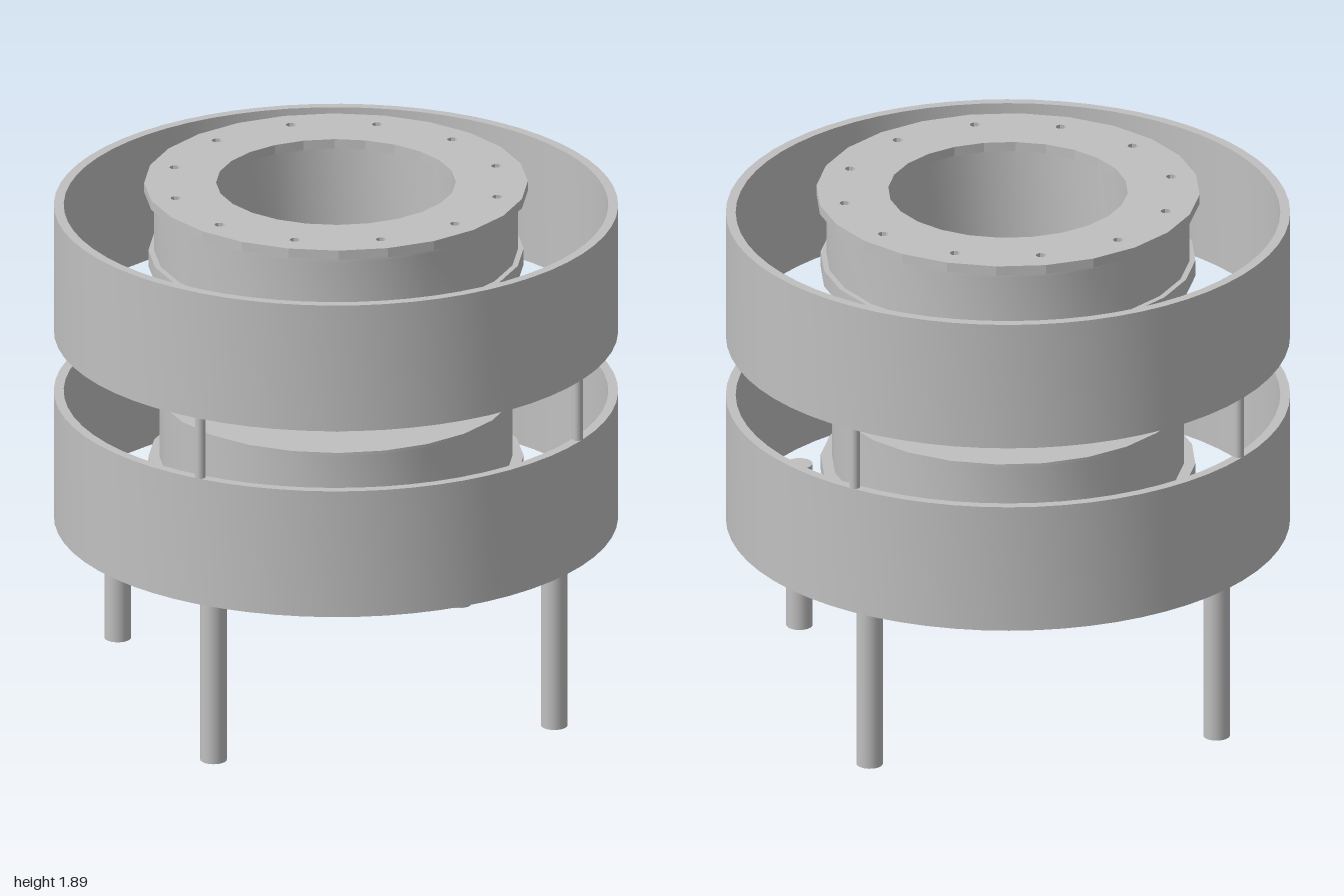
import * as THREE from 'three';
import { toCreasedNormals } from 'three/addons/utils/BufferGeometryUtils.js';

const steel = new THREE.MeshStandardMaterial({ color: 0xc0c0c0 });
steel.name = 'greySteel';

function mesh(name, geometry, x = 0, y = 0, z = 0) {
  const m = new THREE.Mesh(geometry, steel);
  m.name = name;
  m.position.set(x, y, z);
  return m;
}

// Closed profile of [radius, height] pairs, outer side running upwards
function turned(profile, sides) {
  const points = [...profile, profile[0]].map(([r, y]) => new THREE.Vector2(r, y));
  return toCreasedNormals(new THREE.LatheGeometry(points, sides), 0.5);
}

function circlePoints(r, sides, cx = 0, cy = 0) {
  return Array.from({ length: sides }, (_, i) => {
    const a = (i / sides) * Math.PI * 2;
    return new THREE.Vector2(cx + r * Math.cos(a), cy + r * Math.sin(a));
  });
}

// Flange plate with a central bore and twelve bolt holes
function flangeGeometry() {
  const shape = new THREE.Shape(circlePoints(0.68, 24));
  shape.holes.push(new THREE.Path(circlePoints(0.425, 24)));
  for (let i = 0; i < 12; i++) {
    const a = (i / 12) * Math.PI * 2;
    shape.holes.push(new THREE.Path(circlePoints(0.019, 8, 0.59 * Math.cos(a), 0.59 * Math.sin(a))));
  }
  return new THREE.ExtrudeGeometry(shape, { depth: 0.035, bevelEnabled: false }).rotateX(-Math.PI / 2);
}

// Hollow drum, centred on its own middle, with the flange on top
function createDrum(name, y) {
  const drum = new THREE.Group();
  drum.name = name;
  drum.position.y = y;
  const body = turned([
    [0.425, -0.285], [0.635, -0.285], [0.635, -0.275], [0.625, -0.275],
    [0.625, -0.03], [0.665, -0.03], [0.665, 0.03], [0.645, 0.03],
    [0.645, 0.233], [0.655, 0.233], [0.655, 0.245], [0.645, 0.245],
    [0.645, 0.25], [0.425, 0.25],
  ], 24);
  drum.add(mesh('drumBody', body), mesh('boltFlange', flangeGeometry(), 0, 0.25, 0));
  return drum;
}

export function createModel() {
  const model = new THREE.Group();
  model.name = 'doubleDrumStand';

  // Outer rings
  const ring = turned([[0.965, 0], [1, 0], [1, 0.477], [0.965, 0.477]], 64);
  model.add(mesh('lowerRing', ring, 0, 0.627, 0), mesh('upperRing', ring, 0, 1.332, 0));

  // Drums, flanges facing outwards
  const lower = createDrum('lowerDrum', 0.825);
  lower.rotation.x = Math.PI;
  model.add(lower, createDrum('upperDrum', 1.61));

  // Legs and the thin rods between the rings
  const leg = new THREE.CylinderGeometry(0.047, 0.047, 0.624, 24);
  const rod = new THREE.CylinderGeometry(0.019, 0.019, 0.228, 16);
  for (const sx of [-1, 1]) {
    for (const sz of [-1, 1]) {
      model.add(mesh('leg', leg, sx * 0.627, 0.312, sz * 0.627));
      model.add(mesh('spacerRod', rod, sx * 0.694, 1.218, sz * 0.694));
    }
  }
  return model;
}
